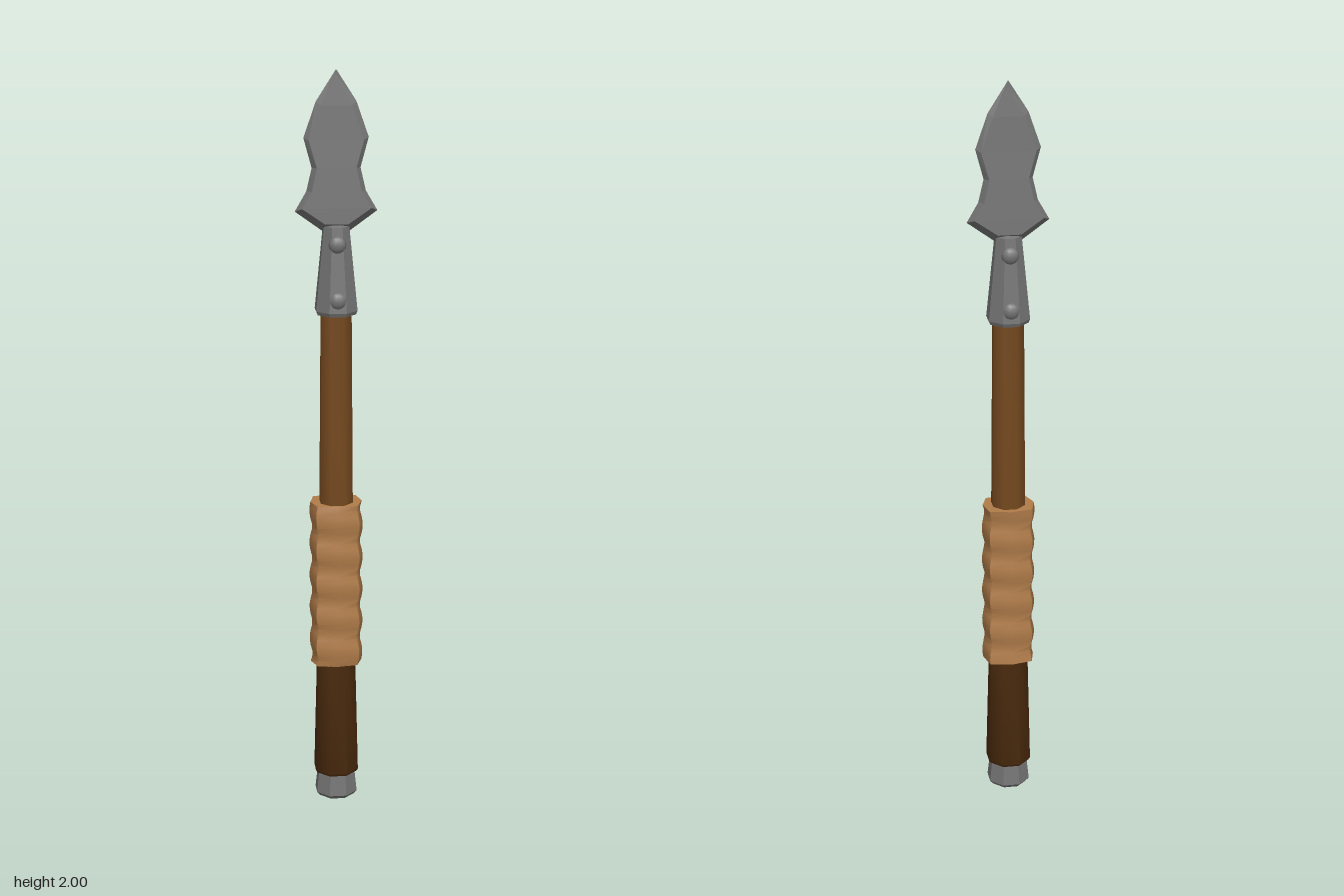
import * as THREE from 'three';
import { mergeVertices, toCreasedNormals } from 'three/addons/utils/BufferGeometryUtils.js';

const paint = (name, color) => Object.assign(new THREE.MeshStandardMaterial({ color }), { name });

export function createModel() {
  const group = new THREE.Group();
  const steel = paint('steel', 0x757474);
  const wood = paint('wood', 0x75491f);
  const darkWood = paint('dark wood', 0x4a2a0d);
  const leather = paint('leather', 0xb07c4a);

  const add = (name, geometry, material, x = 0, y = 0, z = 0) => {
    const mesh = new THREE.Mesh(geometry, material);
    mesh.name = name;
    mesh.position.set(x, y, z);
    group.add(mesh);
    return mesh;
  };

  // Turned part from [radius, y] pairs; radii are measured across the flats
  const turned = (profile, sides, crease) => {
    const k = 1 / Math.cos(Math.PI / sides);
    const points = profile.map(([r, y]) => new THREE.Vector2(r * k, y));
    return toCreasedNormals(new THREE.LatheGeometry(points, sides, Math.PI / sides), crease);
  };

  // Pommel, lower sleeve and shaft
  add('pommel', turned([[0, 0.005], [0.046, 0.005], [0.055, 0.016], [0.048, 0.085], [0, 0.085]], 8, 0.3), steel);
  add('lowerSleeve', turned([[0, 0.075], [0.054, 0.075], [0.058, 0.082], [0.05, 0.42], [0, 0.42]], 8, 0.9), darkWood);
  add('shaft', turned([[0, 0.4], [0.044, 0.4], [0.043, 0.86], [0.039, 1.4], [0, 1.4]], 8, 0.9), wood);

  // Leather wrap: squarish oval tube with bulges winding down around it
  let grip = new THREE.CylinderGeometry(1, 1, 0.455, 8, 30);
  const pos = grip.attributes.position;
  const squarish = (v) => Math.sign(v) * Math.pow(Math.abs(v), 0.62);
  for (let i = 0; i < pos.count; i++) {
    const x = pos.getX(i), y = pos.getY(i), z = pos.getZ(i);
    if (Math.hypot(x, z) < 0.5) continue;
    const turn = Math.atan2(x, z) / (2 * Math.PI);
    const bulge = 0.87 + 0.13 * Math.abs(Math.sin(Math.PI * ((y + 0.2275) / 0.091 + turn)));
    pos.setXYZ(i, squarish(x) * 0.072 * bulge, y, squarish(z) * 0.061 * bulge);
  }
  grip.deleteAttribute('uv');
  grip.deleteAttribute('normal');
  grip = toCreasedNormals(mergeVertices(grip, 1e-5), 1.0);
  add('gripWrap', grip, leather, 0, 0.625, 0);

  // Socket with domed rivets on front and back
  add('socket', turned([[0, 1.368], [0.05, 1.368], [0.054, 1.378], [0.033, 1.6], [0, 1.612]], 8, 0.3), steel);
  for (const side of [1, -1]) {
    for (const [y, z] of [[1.41, 0.046], [1.555, 0.034]]) {
      const rivet = add('rivet', new THREE.SphereGeometry(0.023, 10, 8), steel, 0, y, z * side);
      rivet.scale.z = 0.65;
    }
  }

  // Blade: six-sided cross-sections [edge x, edge y, face x, face y, half thickness]
  const sections = [
    [0.034, 1.585, 0.03, 1.607, 0.024],
    [0.107, 1.638, 0.09, 1.648, 0.0225],
    [0.077, 1.69, 0.064, 1.692, 0.02],
    [0.063, 1.75, 0.051, 1.752, 0.0165],
    [0.084, 1.828, 0.071, 1.822, 0.012],
    [0.052, 1.92, 0.04, 1.91, 0.0075],
    [0.001, 2, 0.0005, 1.985, 0.001],
  ];
  const vertices = [], faces = [];
  sections.forEach(([ex, ey, fx, fy, t], row) => {
    vertices.push(ex, ey, 0, fx, fy, t, -fx, fy, t, -ex, ey, 0, -fx, fy, -t, fx, fy, -t);
    if (row === sections.length - 1) return;
    for (let i = 0; i < 6; i++) {
      const a = row * 6 + i, b = row * 6 + (i + 1) % 6;
      faces.push(a, a + 6, b + 6, a, b + 6, b);
    }
  });
  const last = (sections.length - 1) * 6;
  for (let i = 1; i < 5; i++) faces.push(0, i, i + 1, last, last + i + 1, last + i);
  const indexed = new THREE.BufferGeometry();
  indexed.setAttribute('position', new THREE.Float32BufferAttribute(vertices, 3));
  indexed.setIndex(faces);
  const blade = indexed.toNonIndexed();
  blade.computeVertexNormals();
  add('blade', blade, steel);

  return group;
}
